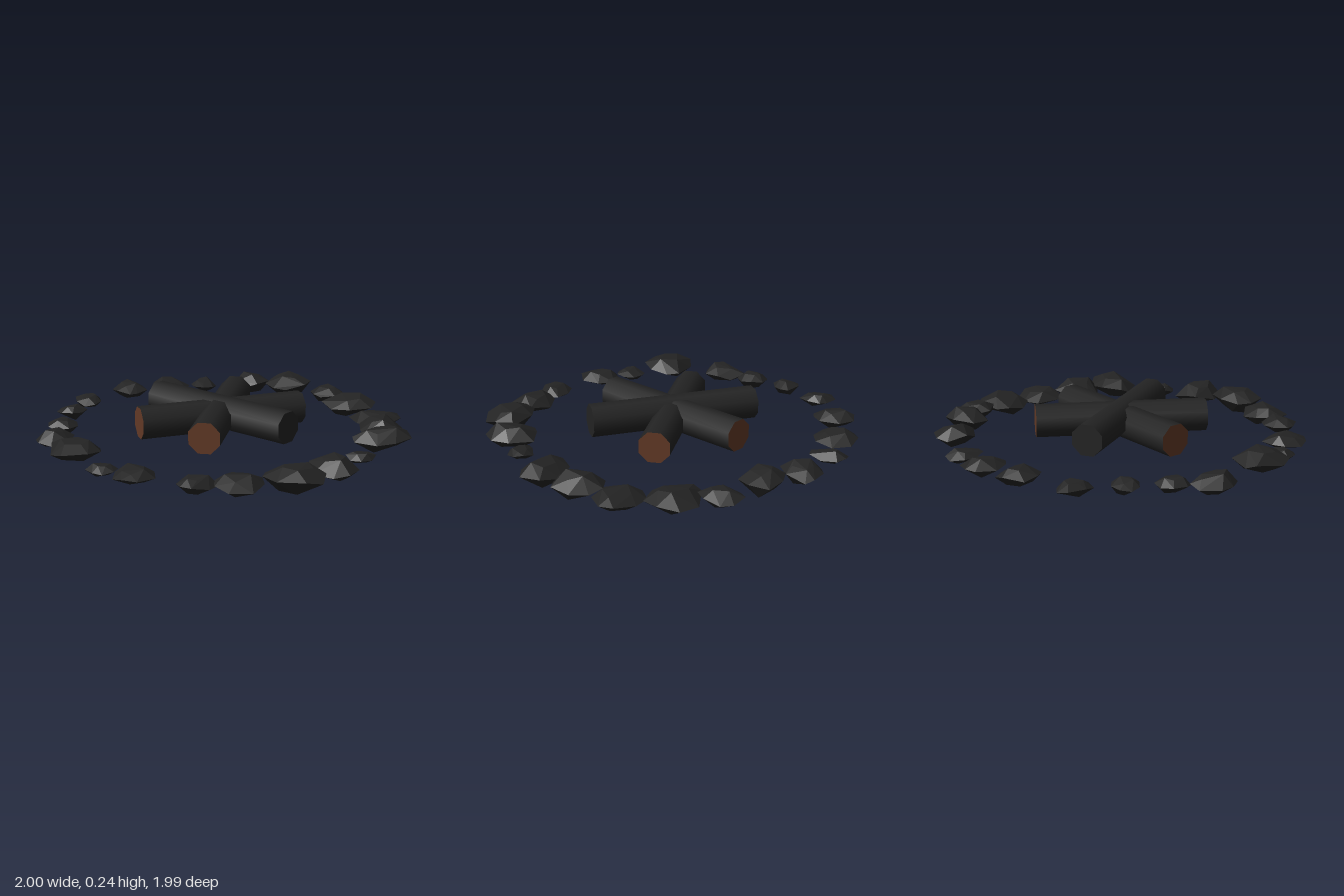
import * as THREE from 'three';
import { ConvexGeometry } from 'three/addons/geometries/ConvexGeometry.js';

const charcoal = new THREE.MeshStandardMaterial({ color: 0x232323 });
const cutWood = new THREE.MeshStandardMaterial({ color: 0x633a26 });
charcoal.name = 'charcoal';
cutWood.name = 'cutWood';

// small seeded generator, 0..1
function seeded(seed) {
  let s = seed * 7919 + 17;
  return () => (s = (s * 16807) % 2147483647) / 2147483647;
}

// eight-sided log lying between two ground points at height y
function log(name, x0, z0, x1, z1, y, endMaterial) {
  const radius = 0.088;
  const length = Math.hypot(x1 - x0, z1 - z0);
  const geo = new THREE.CylinderGeometry(radius, radius, length, 8);
  geo.rotateY(Math.PI / 8);
  geo.rotateX(Math.PI / 2);
  const mesh = new THREE.Mesh(geo, [charcoal, endMaterial, endMaterial]);
  mesh.rotation.y = Math.atan2(x1 - x0, z1 - z0);
  mesh.position.set((x0 + x1) / 2, y, (z0 + z1) / 2);
  mesh.name = name;
  return mesh;
}

// flattened faceted stone: irregular bottom, widest and top rings, fitted to its extents
function stone([x, z, a, b, low, high], i) {
  const rand = seeded(i + 3);
  const points = [];
  const turn = rand() * 6;
  for (const [count, radius, y] of [[5, 0.55, 0], [8, 1, 0.48], [5, 0.5, 1]]) {
    for (let k = 0; k < count; k++) {
      const t = turn + ((k + (rand() - 0.5) * 0.5) / count) * Math.PI * 2;
      const r = radius * (0.9 + 0.2 * rand());
      points.push(new THREE.Vector3(Math.cos(t) * r, y + (rand() - 0.5) * 0.35, Math.sin(t) * r));
    }
  }
  const box = new THREE.Box3().setFromPoints(points);
  const size = box.getSize(new THREE.Vector3());
  const target = new THREE.Vector3(2 * a, high - low, 2 * b);
  const corner = new THREE.Vector3(x - a, low, z - b);
  for (const p of points) p.sub(box.min).divide(size).multiply(target).add(corner);
  const mesh = new THREE.Mesh(new ConvexGeometry(points), charcoal);
  mesh.name = 'stone' + (i + 1);
  return mesh;
}

// x, z, half width, half depth, bottom, top
const STONES = [
  [-0.36, -0.825, 0.095, 0.115, 0.04, 0.13],
  [-0.1, -0.88, 0.118, 0.118, 0.03, 0.12],
  [0.105, -0.885, 0.07, 0.097, 0.03, 0.1],
  [0.39, -0.8, 0.11, 0.11, 0.03, 0.14],
  [0.555, -0.645, 0.13, 0.107, 0.04, 0.165],
  [0.75, -0.49, 0.1, 0.118, 0.03, 0.115],
  [0.805, -0.28, 0.148, 0.135, 0.01, 0.12],
  [0.867, -0.015, 0.133, 0.13, 0.01, 0.09],
  [0.805, 0.21, 0.12, 0.135, 0, 0.13],
  [0.73, 0.415, 0.155, 0.115, 0.02, 0.14],
  [0.535, 0.63, 0.077, 0.07, 0.03, 0.09],
  [0.335, 0.76, 0.115, 0.138, 0.02, 0.13],
  [0.105, 0.87, 0.152, 0.126, 0.01, 0.13],
  [-0.16, 0.85, 0.126, 0.12, 0.01, 0.11],
  [-0.35, 0.79, 0.1, 0.086, 0.02, 0.1],
  [-0.62, 0.62, 0.108, 0.115, 0.04, 0.11],
  [-0.75, 0.47, 0.08, 0.08, 0.03, 0.09],
  [-0.845, 0.265, 0.13, 0.131, 0.05, 0.155],
  [-0.9, -0.075, 0.1, 0.123, 0.02, 0.12],
  [-0.835, -0.257, 0.08, 0.086, 0.03, 0.11],
  [-0.75, -0.476, 0.083, 0.075, 0.04, 0.12],
  [-0.625, -0.685, 0.072, 0.1, 0.04, 0.11],
];

export function createModel() {
  const model = new THREE.Group();
  model.name = 'campfire';

  // three crossed logs, one of them charred at its ends
  const logs = new THREE.Group();
  logs.name = 'logs';
  logs.add(
    log('crossLog', -0.47, 0.015, 0.438, -0.057, 0.137, cutWood),
    log('slantedLog', -0.215, 0.392, 0.178, -0.428, 0.146, cutWood),
    log('charredLog', -0.278, -0.392, 0.238, 0.358, 0.156, charcoal),
  );

  // ring of stones
  const ring = new THREE.Group();
  ring.name = 'stoneRing';
  STONES.forEach((s, i) => ring.add(stone(s, i)));

  model.add(logs, ring);
  return model;
}
